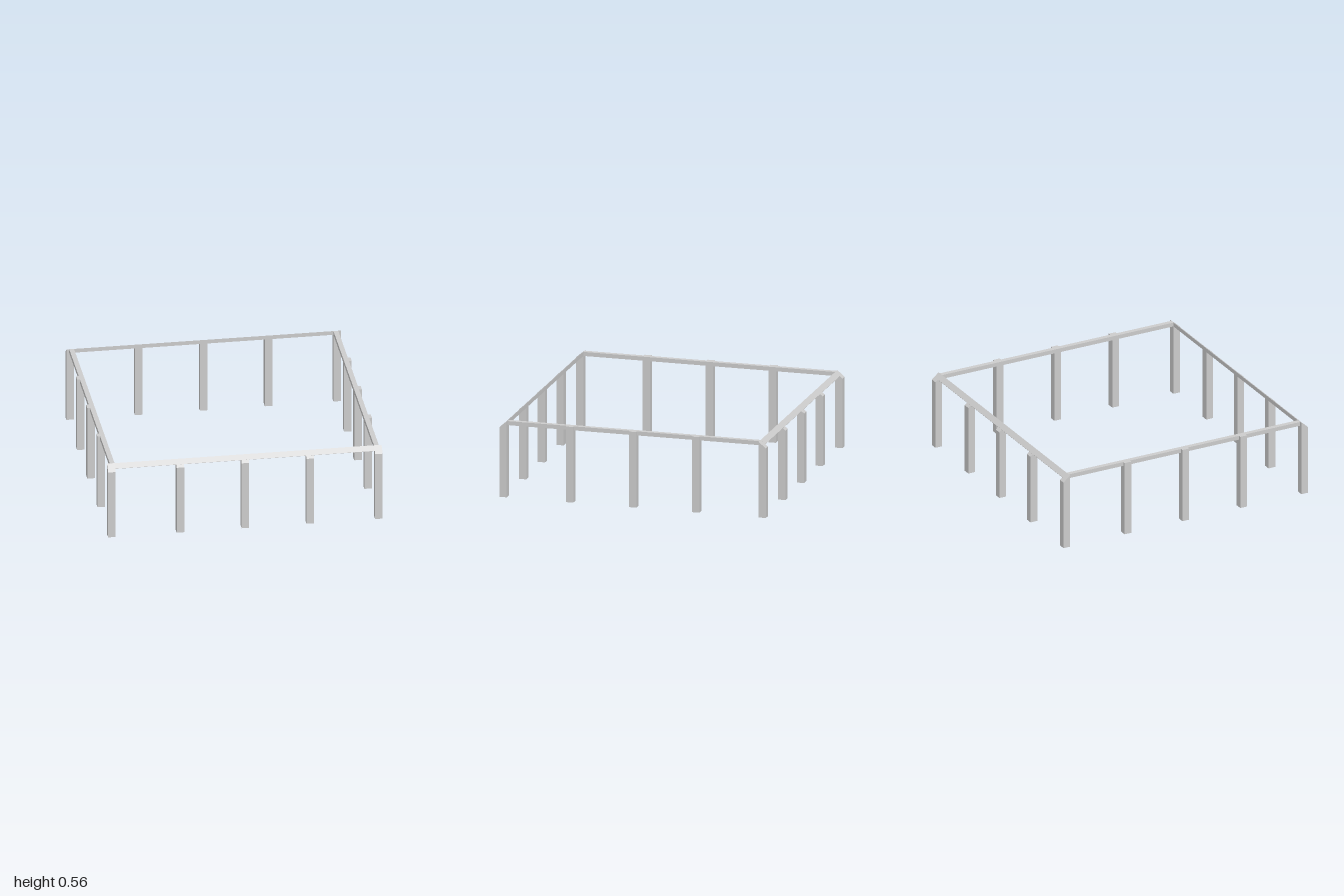
import * as THREE from 'three';

const POST = 0.055;   // post thickness
const TOP = 0.565;    // height of the frame
const EAVE = 0.52;    // outer height of a sloped post
const INNER = 1 - POST;
const MID = 0.473;    // spacing of the intermediate posts

export function createModel() {
  const model = new THREE.Group();
  const material = new THREE.MeshStandardMaterial({ color: 0xcccccc, flatShading: true });

  const add = (name, geometry, parent = model) => {
    const mesh = new THREE.Mesh(geometry, material);
    mesh.name = name;
    parent.add(mesh);
    return mesh;
  };

  // Extrudes a (z, y) profile along x, centred on x
  const prism = (points, x, length) => {
    const shape = new THREE.Shape(points.map(([z, y]) => new THREE.Vector2(-z, y)));
    const geometry = new THREE.ExtrudeGeometry(shape, { depth: length, bevelEnabled: false });
    return geometry.translate(0, 0, -length / 2).rotateY(Math.PI / 2).translate(x, 0, 0);
  };

  const postProfile = [[INNER, 0], [1, 0], [1, EAVE], [INNER, TOP]];
  const beamProfile = [[INNER, 0.535], [0.98, 0.535], [0.98, 0.537], [INNER, TOP]];

  // Front and back rows: posts and beam with tops sloping outward
  for (const [name, turn] of [['front', 0], ['back', Math.PI]]) {
    const row = new THREE.Group();
    row.name = name + 'Row';
    row.rotation.y = turn;
    for (const x of [-1 + POST / 2, -MID, 0, MID, 1 - POST / 2]) {
      const kind = Math.abs(x) > 0.9 ? 'CornerPost' : 'Post';
      add(name + kind, prism(postProfile, x, POST), row);
    }
    add(name + 'Beam', prism(beamProfile, 0, 2 * INNER), row);
    model.add(row);
  }

  // Left and right rows: flat-topped posts and level beams
  for (const [name, side] of [['left', 1], ['right', -1]]) {
    const row = new THREE.Group();
    row.name = name + 'Row';
    for (const z of [-MID, 0, MID]) {
      add(name + 'Post', new THREE.BoxGeometry(POST, TOP, POST), row)
        .position.set(side * (1 - POST / 2), TOP / 2, z);
    }
    add(name + 'Beam', new THREE.BoxGeometry(0.035, 0.03, 2 * INNER), row)
      .position.set(side * (INNER + 0.0175), TOP - 0.015, 0);
    model.add(row);
  }

  return model;
}
